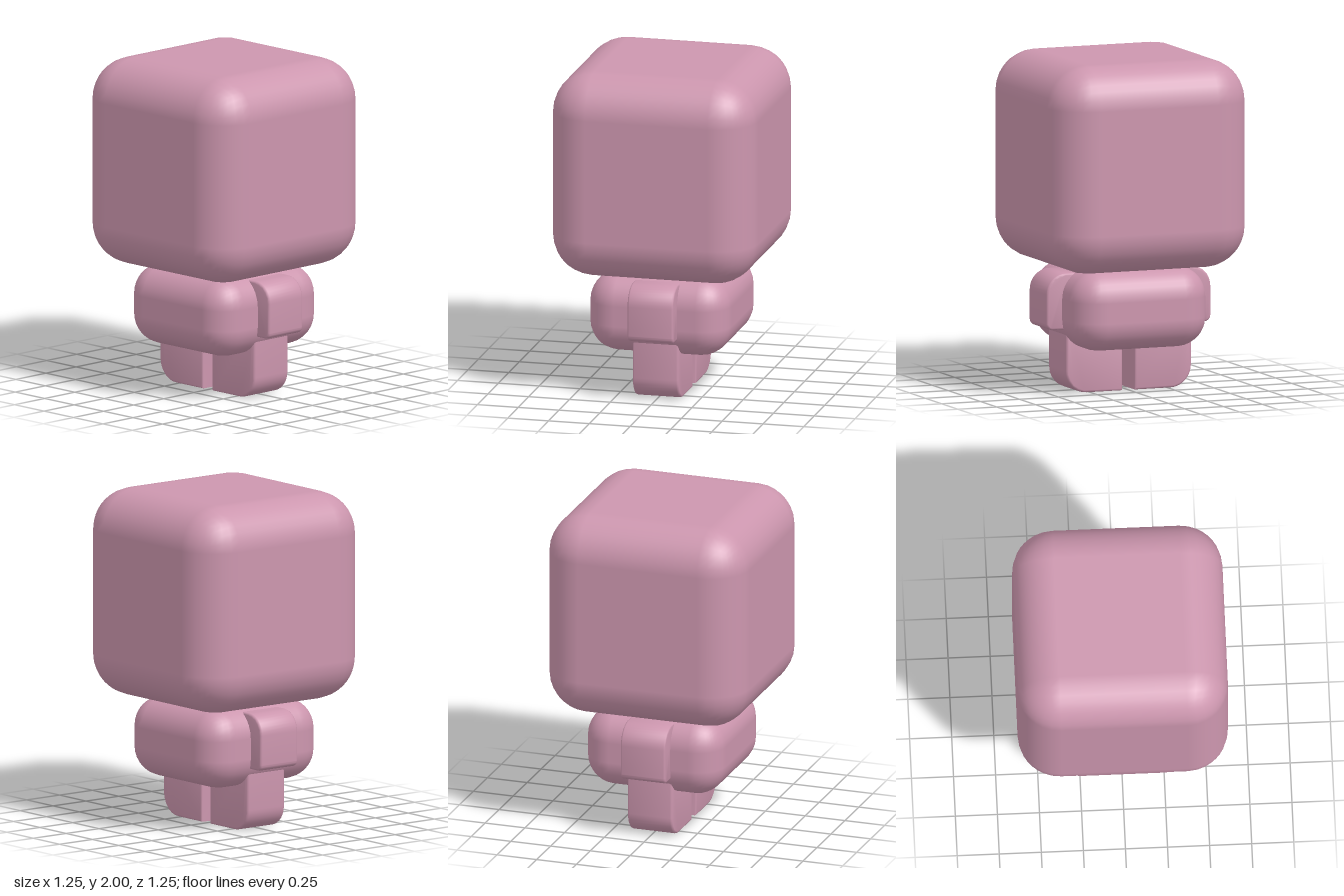
import * as THREE from 'three';
import { RoundedBoxGeometry } from 'three/addons/geometries/RoundedBoxGeometry.js';
import { toCreasedNormals } from 'three/addons/utils/BufferGeometryUtils.js';

const pink = new THREE.MeshStandardMaterial({ color: 0xcc96ae });
pink.name = 'dusty pink';

// Rounded block between two heights, square in plan
function block(name, width, bottom, top, radius) {
  const mesh = new THREE.Mesh(new RoundedBoxGeometry(width, top - bottom, width, 4, radius), pink);
  mesh.name = name;
  mesh.position.y = (bottom + top) / 2;
  return mesh;
}

// Limb slab: outline rounded on its outer corners, extruded along z with a fine bevel
function limb(name, x0, x1, y0, y1, lowRadius, highRadius, side) {
  const b = 0.012, depth = 0.28;
  const l = x0 + b, r = x1 - b, d = y0 + b, u = y1 - b;
  const s = new THREE.Shape();
  s.moveTo(l, d);
  s.lineTo(r - lowRadius, d);
  s.absarc(r - lowRadius, d + lowRadius, lowRadius, -Math.PI / 2, 0, false);
  s.lineTo(r, u - highRadius);
  s.absarc(r - highRadius, u - highRadius, highRadius, 0, Math.PI / 2, false);
  s.lineTo(l, u);
  s.closePath();
  const geometry = new THREE.ExtrudeGeometry(s, {
    depth: depth - 2 * b, bevelThickness: b, bevelSize: b, bevelSegments: 2, curveSegments: 5,
  });
  geometry.translate(0, 0, -depth / 2 + b);
  // Half a turn mirrors the symmetric slab onto the other side
  if (side < 0) geometry.rotateY(Math.PI);
  const mesh = new THREE.Mesh(toCreasedNormals(geometry, 0.8), pink);
  mesh.name = name;
  return mesh;
}

export function createModel() {
  const model = new THREE.Group();
  model.name = 'blockFigure';
  model.add(block('head', 1.25, 0.75, 2, 0.25));
  model.add(block('body', 0.86, 0.265, 0.748, 0.18));
  for (const side of [1, -1]) {
    const label = side > 0 ? 'left' : 'right';
    model.add(limb(label + 'Arm', 0.25, 0.527, 0.385, 0.72, 0.025, 0.11, side));
    model.add(limb(label + 'Leg', 0.04, 0.402, 0, 0.42, 0.12, 0.01, side));
  }
  return model;
}
